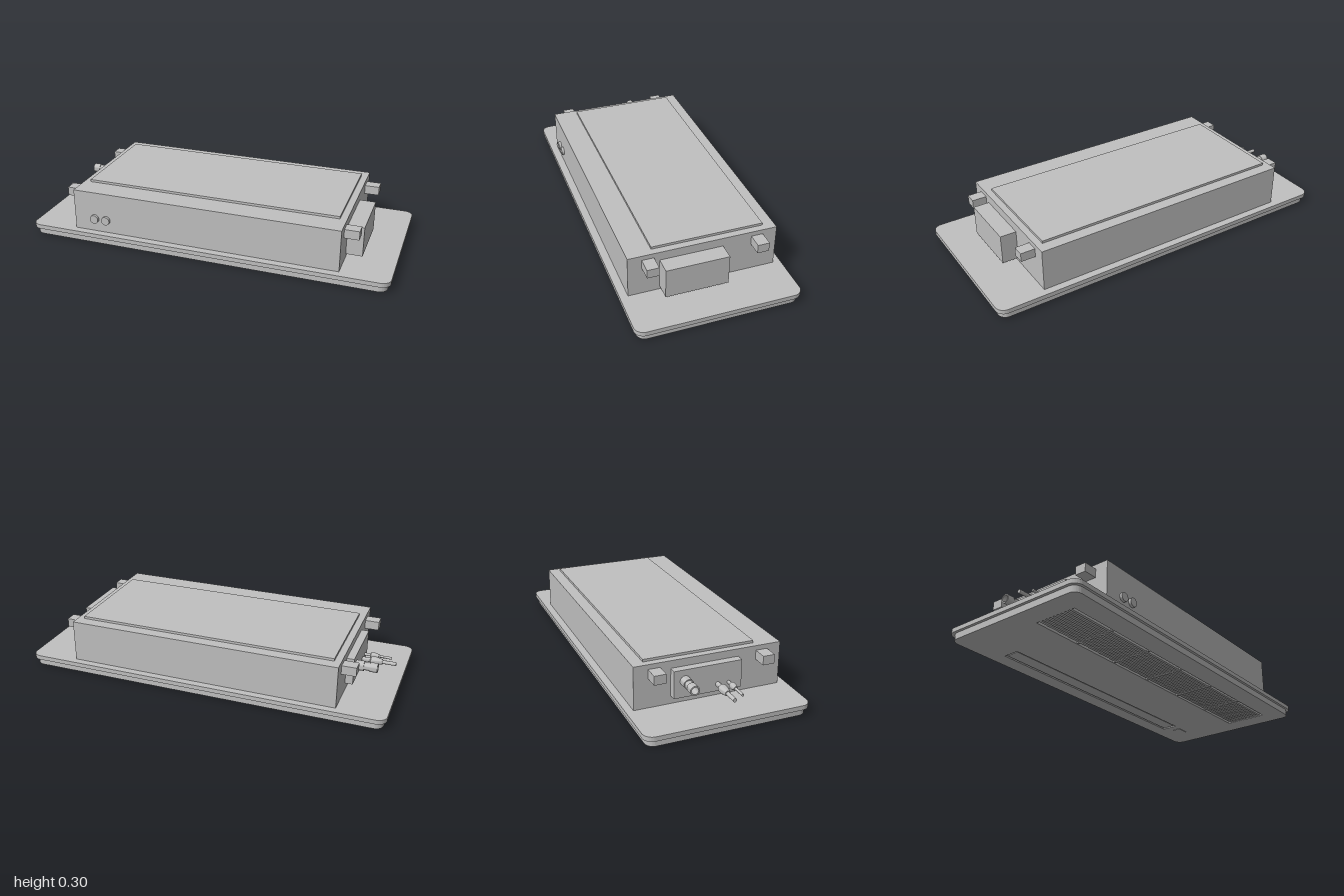
import * as THREE from 'three';
import { toCreasedNormals } from 'three/addons/utils/BufferGeometryUtils.js';

const casing = new THREE.MeshStandardMaterial({ color: 0xc0c0c0 });
casing.name = 'casing grey';

function add(group, name, geometry) {
  const mesh = new THREE.Mesh(geometry, casing);
  mesh.name = name;
  group.add(mesh);
  return mesh;
}

// Box given by its limits on each axis
function box(group, name, [x0, x1], [y0, y1], [z0, z1]) {
  const mesh = add(group, name, new THREE.BoxGeometry(x1 - x0, y1 - y0, z1 - z0));
  mesh.position.set((x0 + x1) / 2, (y0 + y1) / 2, (z0 + z1) / 2);
  return mesh;
}

// Rounded slab lying flat, with optional rectangular openings [x0, x1, z0, z1]
function slab(group, name, hx, hz, r, y0, y1, openings = []) {
  const s = new THREE.Shape();
  s.moveTo(hx, -hz + r);
  s.absarc(hx - r, hz - r, r, 0, Math.PI / 2);
  s.absarc(-hx + r, hz - r, r, Math.PI / 2, Math.PI);
  s.absarc(-hx + r, -hz + r, r, Math.PI, Math.PI * 1.5);
  s.absarc(hx - r, -hz + r, r, Math.PI * 1.5, Math.PI * 2);
  for (const [x0, x1, z0, z1] of openings) {
    const h = new THREE.Path();
    h.moveTo(x0, -z0).lineTo(x0, -z1).lineTo(x1, -z1).lineTo(x1, -z0).closePath();
    s.holes.push(h);
  }
  const g = new THREE.ExtrudeGeometry(s, { depth: y1 - y0, bevelEnabled: false, curveSegments: 10 });
  g.rotateX(-Math.PI / 2);
  add(group, name, toCreasedNormals(g, 0.6)).position.y = y0;
}

// Turned fitting pointing to -x; profile of [radius, distance]
function fitting(group, name, x, y, z, profile) {
  const g = new THREE.LatheGeometry(profile.map(([r, d]) => new THREE.Vector2(r, d)), 24);
  const mesh = add(group, name, toCreasedNormals(g, 0.6));
  mesh.rotation.z = Math.PI / 2;
  mesh.position.set(x, y, z);
}

export function createModel() {
  const model = new THREE.Group();
  model.name = 'ceilingCassetteUnit';

  // Decorative panel with air inlet and outlet openings
  const slot = [-0.7, 0.7, -0.33, -0.24];
  const grille = [-0.865, 0.865, 0.06, 0.3];
  slab(model, 'panelFlange', 1, 0.43, 0.05, 0.038, 0.062);
  slab(model, 'lowerPanel', 0.985, 0.416, 0.045, 0.003, 0.038, [slot, grille]);
  box(model, 'outletFlap', [-0.69, 0.69], [0.006, 0.016], [-0.322, -0.248]);
  box(model, 'displayWindow', [0.75, 0.83], [0, 0.003], [-0.29, -0.245]);

  // Inlet grille: long slats crossed by dividers
  const inlet = new THREE.Group();
  inlet.name = 'inletGrille';
  model.add(inlet);
  const slats = 9;
  for (let i = 1; i <= slats; i++) {
    const z = grille[2] + (grille[3] - grille[2]) * i / (slats + 1);
    box(inlet, 'slat', [grille[0], grille[1]], [0.004, 0.02], [z - 0.007, z + 0.007]);
  }
  for (let i = 1; i < 6; i++) {
    const x = grille[0] + (grille[1] - grille[0]) * i / 6;
    box(inlet, 'divider', [x - 0.005, x + 0.005], [0.005, 0.03], [grille[2], grille[3]]);
  }

  // Concealed body
  box(model, 'body', [-0.742, 0.738], [0.062, 0.29], [-0.39, 0.388]);
  box(model, 'topCover', [-0.706, 0.702], [0.29, 0.303], [-0.328, 0.257]);
  box(model, 'electricalBox', [0.738, 0.825], [0.08, 0.243], [-0.104, 0.225]);
  box(model, 'pipePlate', [-0.782, -0.742], [0.105, 0.25], [-0.2, 0.158]);

  // Hanging brackets at the four corners
  for (const z of [-0.285, 0.285]) {
    box(model, 'hangingBracket', [0.738, 0.816], [0.217, 0.265], [z - 0.031, z + 0.031]);
    box(model, 'hangingBracket', [-0.818, -0.742], [0.217, 0.265], [z - 0.031, z + 0.031]);
  }

  // Knockout plugs on the front
  for (const x of [-0.622, -0.554]) {
    const plug = add(model, 'knockoutPlug', new THREE.CylinderGeometry(0.024, 0.024, 0.016, 24));
    plug.rotation.x = Math.PI / 2;
    plug.position.set(x, 0.135, 0.395);
  }

  // Drain outlet and refrigerant pipes
  fitting(model, 'drainOutlet', -0.78, 0.193, -0.143, [
    [0.026, 0], [0.026, 0.045], [0.021, 0.045], [0.021, 0.075], [0.025, 0.075],
    [0.025, 0.115], [0.018, 0.115], [0.018, 0.06], [0, 0.06]]);
  fitting(model, 'gasPipe', -0.78, 0.143, 0.03, [
    [0.012, 0], [0.012, 0.045], [0.022, 0.05], [0.022, 0.075], [0.014, 0.11],
    [0.01, 0.11], [0.01, 0.183], [0, 0.183]]);
  fitting(model, 'liquidPipe', -0.78, 0.143, 0.088, [
    [0.008, 0], [0.008, 0.035], [0.016, 0.038], [0.016, 0.058], [0.011, 0.08],
    [0.007, 0.08], [0.007, 0.15], [0, 0.15]]);

  return model;
}
